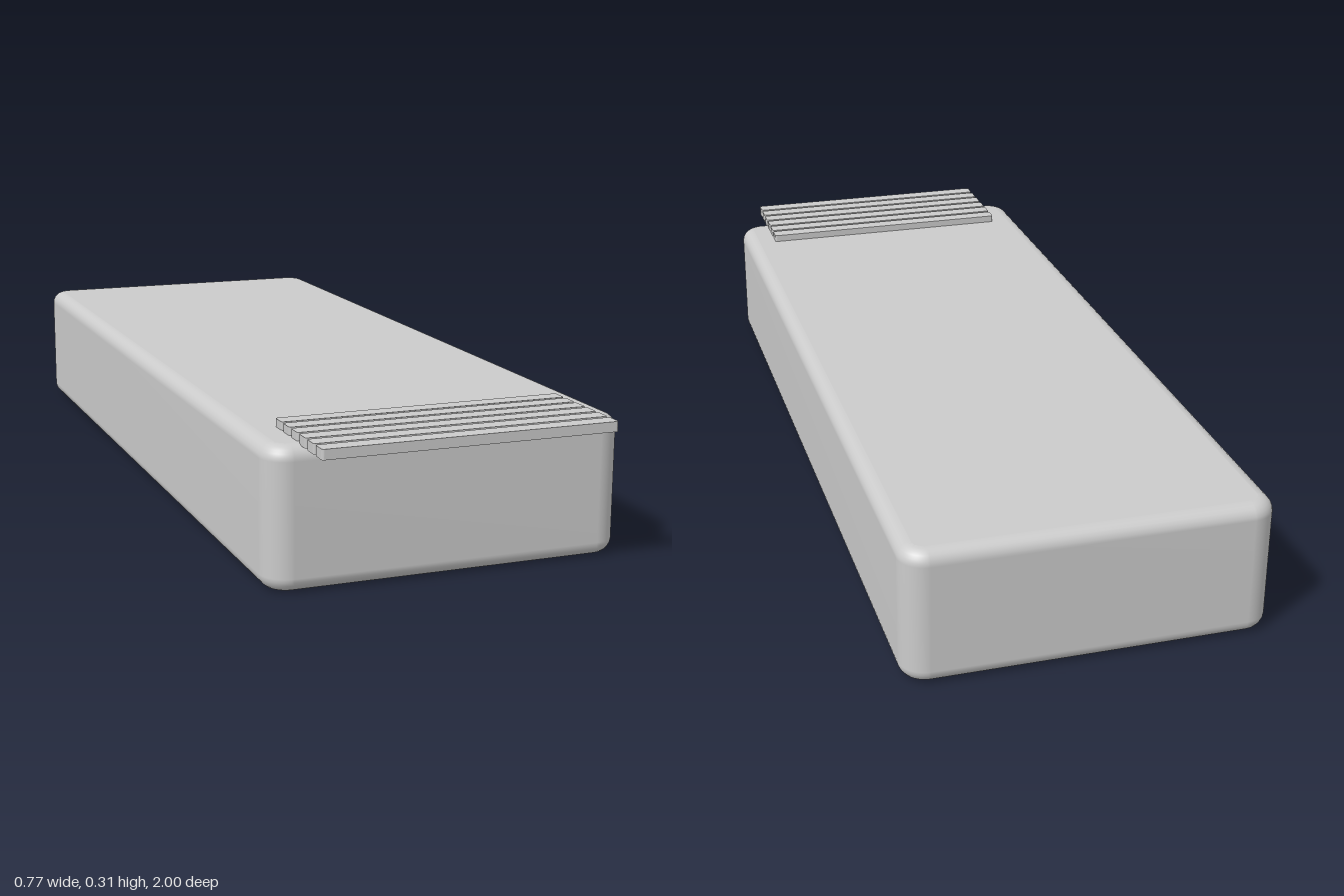
import * as THREE from 'three';
import { mergeVertices } from 'three/addons/utils/BufferGeometryUtils.js';

const material = new THREE.MeshStandardMaterial({ color: 0xcccccc });

// Slab standing on y = 0: plan corners of the given radius, optional rounded top and bottom rims
function slab(width, height, depth, radius, rim = 0) {
  const x = width / 2 - radius, z = depth / 2 - radius, r = radius - rim;
  const shape = new THREE.Shape();
  shape.absarc(x, z, r, 0, Math.PI / 2);
  shape.absarc(-x, z, r, Math.PI / 2, Math.PI);
  shape.absarc(-x, -z, r, Math.PI, Math.PI * 1.5);
  shape.absarc(x, -z, r, Math.PI * 1.5, Math.PI * 2);
  const geometry = new THREE.ExtrudeGeometry(shape, {
    depth: height - 2 * rim,
    bevelEnabled: rim > 0,
    bevelSize: rim,
    bevelThickness: rim,
    bevelSegments: 6,
    curveSegments: rim > 0 ? 8 : 3,
  });
  geometry.translate(0, 0, rim);
  geometry.rotateX(-Math.PI / 2);
  if (rim === 0) return geometry;
  // Smooth the rounded rims into the flat faces
  geometry.deleteAttribute('normal');
  geometry.deleteAttribute('uv');
  const smooth = mergeVertices(geometry, 1e-5);
  smooth.computeVertexNormals();
  return smooth;
}

export function createModel() {
  const model = new THREE.Group();
  model.name = 'ribbedBlock';

  // Main rounded body
  const body = new THREE.Mesh(slab(0.768, 0.293, 1.905, 0.055, 0.03), material);
  body.name = 'body';
  body.position.z = -0.0475;
  model.add(body);

  // Row of grip ribs overhanging the front edge
  const ribs = new THREE.Group();
  ribs.name = 'gripRibs';
  const ribGeometry = slab(0.622, 0.021, 0.036, 0.005);
  for (let i = 0; i < 6; i++) {
    const rib = new THREE.Mesh(ribGeometry, material);
    rib.name = `gripRib${i + 1}`;
    rib.position.set(0, 0.289, 0.982 - i * 0.0443);
    ribs.add(rib);
  }
  model.add(ribs);
  return model;
}
